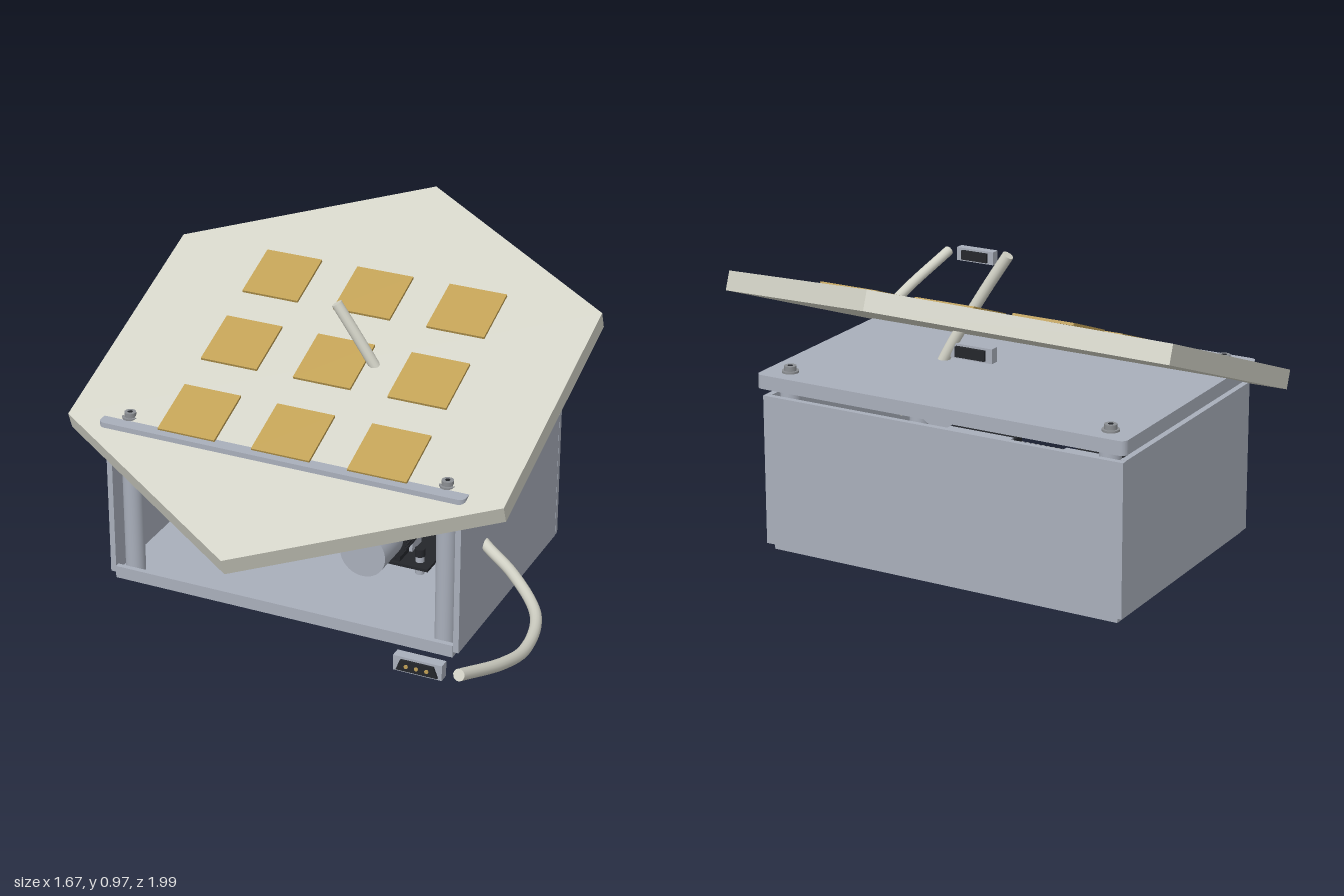
import * as THREE from 'three';

export function createModel() {
  const model = new THREE.Group();
  const material = (name, color) => {
    const m = new THREE.MeshStandardMaterial({ color });
    m.name = name;
    return m;
  };
  const steel = material('blue grey metal', 0xa9afbb);
  const ivory = material('ivory ceramic', 0xd3d3c7);
  const gold = material('gold', 0xc0a054);
  const black = material('black plastic', 0x24262b);
  const silver = material('screw grey', 0x8b8e92);

  const add = (name, geometry, mat, x = 0, y = 0, z = 0, parent = model) => {
    const mesh = new THREE.Mesh(geometry, mat);
    mesh.name = name;
    mesh.position.set(x, y, z);
    parent.add(mesh);
    return mesh;
  };
  // Box given by its limits on each axis
  const span = (name, mat, x0, x1, y0, y1, z0, z1, parent = model) =>
    add(name, new THREE.BoxGeometry(x1 - x0, y1 - y0, z1 - z0), mat,
      (x0 + x1) / 2, (y0 + y1) / 2, (z0 + z1) / 2, parent);
  const rod = (name, mat, r, y0, y1, x, z, sides = 24) =>
    add(name, new THREE.CylinderGeometry(r, r, y1 - y0, sides), mat, x, (y0 + y1) / 2, z);

  const cx = -0.125; // centre line of the housing

  // Housing: tray, three thin walls, open front
  span('trayFloor', steel, -0.69, 0.44, 0, 0.018, -0.61, 0.18);
  span('trayFrontLip', steel, -0.69, 0.44, 0, 0.04, 0.165, 0.182);
  span('backWall', steel, -0.71, 0.458, 0.02, 0.475, -0.625, -0.607);
  for (const s of [-1, 1]) {
    const x = cx + s * 0.574;
    span('sideWall', steel, x - 0.009, x + 0.009, 0.018, 0.475, -0.605, 0.18);
  }

  // Lid with small rounded corners
  const w = 0.597, d = 0.42, r = 0.02;
  const outline = new THREE.Shape();
  outline.absarc(w - r, d - r, r, 0, Math.PI / 2);
  outline.absarc(-w + r, d - r, r, Math.PI / 2, Math.PI);
  outline.absarc(-w + r, -d + r, r, Math.PI, Math.PI * 1.5);
  outline.absarc(w - r, -d + r, r, Math.PI * 1.5, Math.PI * 2);
  const lid = new THREE.ExtrudeGeometry(outline, { depth: 0.042, bevelEnabled: false, curveSegments: 6 });
  lid.rotateX(-Math.PI / 2);
  add('lid', lid, steel, cx, 0.5, -0.22);

  // Corner posts and lid screws
  for (const x of [-0.645, 0.395]) {
    for (const z of [0.135, -0.575]) {
      rod('post', steel, 0.031, 0.018, 0.501, x, z);
      rod('screwWasher', silver, 0.025, 0.541, 0.548, x, z);
      rod('screwHead', silver, 0.018, 0.548, 0.562, x, z);
      rod('screwSocket', black, 0.008, 0.56, 0.563, x, z, 6);
    }
  }

  // Tilted hexagonal plate with a grid of gold patches
  const antenna = new THREE.Group();
  antenna.name = 'hexagonPanel';
  antenna.position.set(cx, 0.6515, -0.2175);
  antenna.rotation.x = THREE.MathUtils.degToRad(20.6);
  model.add(antenna);
  const hex = new THREE.CylinderGeometry(0.822, 0.822, 0.058, 6).toNonIndexed();
  hex.computeVertexNormals();
  add('hexagonPlate', hex, ivory, 0, 0, 0, antenna);
  for (let i = -1; i <= 1; i++) {
    for (let j = -1; j <= 1; j++) {
      add('goldPatch', new THREE.BoxGeometry(0.19, 0.008, 0.192), gold, i * 0.312, 0.037, j * 0.307, antenna);
    }
  }

  // Cables with closed ends
  const cable = (name, points, radius) => {
    const pts = points.map((p) => new THREE.Vector3(...p));
    const curve = new THREE.CatmullRomCurve3(pts);
    add(name, new THREE.TubeGeometry(curve, 64, radius, 14), ivory);
    for (const t of [0, 1]) {
      const cap = add('cableEnd', new THREE.CircleGeometry(radius, 14), ivory);
      const p = curve.getPoint(t);
      cap.position.copy(p);
      cap.lookAt(p.clone().addScaledVector(curve.getTangent(t), t ? 1 : -1));
    }
  };
  cable('sideCable', [[0.25, 0.34, -0.2], [0.45, 0.29, -0.02], [0.59, 0.28, 0.1], [0.74, 0.288, 0.3],
    [0.808, 0.33, 0.55], [0.815, 0.39, 0.74], [0.783, 0.475, 0.97]], 0.017);
  cable('topCable', [[-0.122, 0.875, -0.217], [-0.065, 0.785, -0.225], [-0.005, 0.685, -0.235],
    [0.05, 0.59, -0.245], [0.1, 0.49, -0.255]], 0.017);

  // Plug: metal shell, black tapered face, gold pins
  const plug = (name, x, y, z, width, height) => {
    const g = new THREE.Group();
    g.name = name;
    g.position.set(x, y, z);
    model.add(g);
    const a = width / 2, b = height / 2;
    add('plugShell', new THREE.BoxGeometry(width, height, 0.03), steel, 0, 0, 0, g);
    const face = new THREE.Shape();
    face.moveTo(-a * 0.68, b * 0.7);
    face.lineTo(-a * 0.85, -b * 0.7);
    face.lineTo(a * 0.85, -b * 0.7);
    face.lineTo(a * 0.68, b * 0.7);
    face.closePath();
    add('plugFace', new THREE.ExtrudeGeometry(face, { depth: 0.008, bevelEnabled: false }), black, 0, 0, 0.014, g);
    add('plugBack', new THREE.BoxGeometry(width * 0.7, height * 0.7, 0.012), black, 0, 0, -0.02, g);
    for (const i of [-1, 0, 1]) {
      const pin = new THREE.CylinderGeometry(height * 0.13, height * 0.13, 0.004, 10);
      pin.rotateX(Math.PI / 2);
      add('plugPin', pin, gold, i * a * 0.42, 0, 0.023, g);
    }
  };
  plug('cablePlug', 0.67, 0.475, 0.968, 0.14, 0.045);
  plug('innerPlug', -0.02, 0.575, -0.24, 0.14, 0.045);

  // Round barrel with a ribbed black collar
  const barrel = new THREE.CylinderGeometry(0.072, 0.072, 0.37, 40).rotateX(Math.PI / 2);
  add('barrel', barrel, steel, 0.187, 0.335, 0.085);
  const collar = new THREE.CylinderGeometry(0.083, 0.083, 0.1, 40).rotateX(Math.PI / 2);
  add('collar', collar, black, 0.187, 0.335, 0.09);
  for (let i = 0; i < 36; i++) {
    const t = (i / 36) * Math.PI * 2;
    const rib = add('collarRib', new THREE.BoxGeometry(0.008, 0.008, 0.1), black,
      0.187 + Math.cos(t) * 0.083, 0.335 + Math.sin(t) * 0.083, 0.09);
    rib.rotation.z = t;
  }

  // Circuit board on standoffs, with two sockets and a pin row
  span('circuitBoard', black, -0.55, 0.3, 0.187, 0.196, -0.42, 0.05);
  for (const x of [-0.508, 0.258]) {
    for (const z of [0.01, -0.38]) {
      rod('standoff', steel, 0.014, 0.155, 0.235, x, z, 12);
      rod('standoffCap', black, 0.016, 0.215, 0.24, x, z, 12);
    }
  }
  for (const s of [-1, 1]) {
    const x = cx + s * 0.215;
    span('socketShell', steel, x - 0.125, x + 0.125, 0.17, 0.25, -0.1, -0.03);
    span('socketBody', black, x - 0.115, x + 0.115, 0.196, 0.235, -0.03, 0.04);
    for (let i = -1; i <= 1; i++) {
      span('socketPin', gold, x + i * 0.04 - 0.007, x + i * 0.04 + 0.007, 0.21, 0.226, 0.038, 0.044);
    }
  }
  for (let i = 0; i < 12; i++) {
    const x = -0.222 + i * 0.0176;
    span('headerPin', silver, x - 0.005, x + 0.005, 0.196, 0.216, 0.02, 0.04);
  }
  return model;
}
